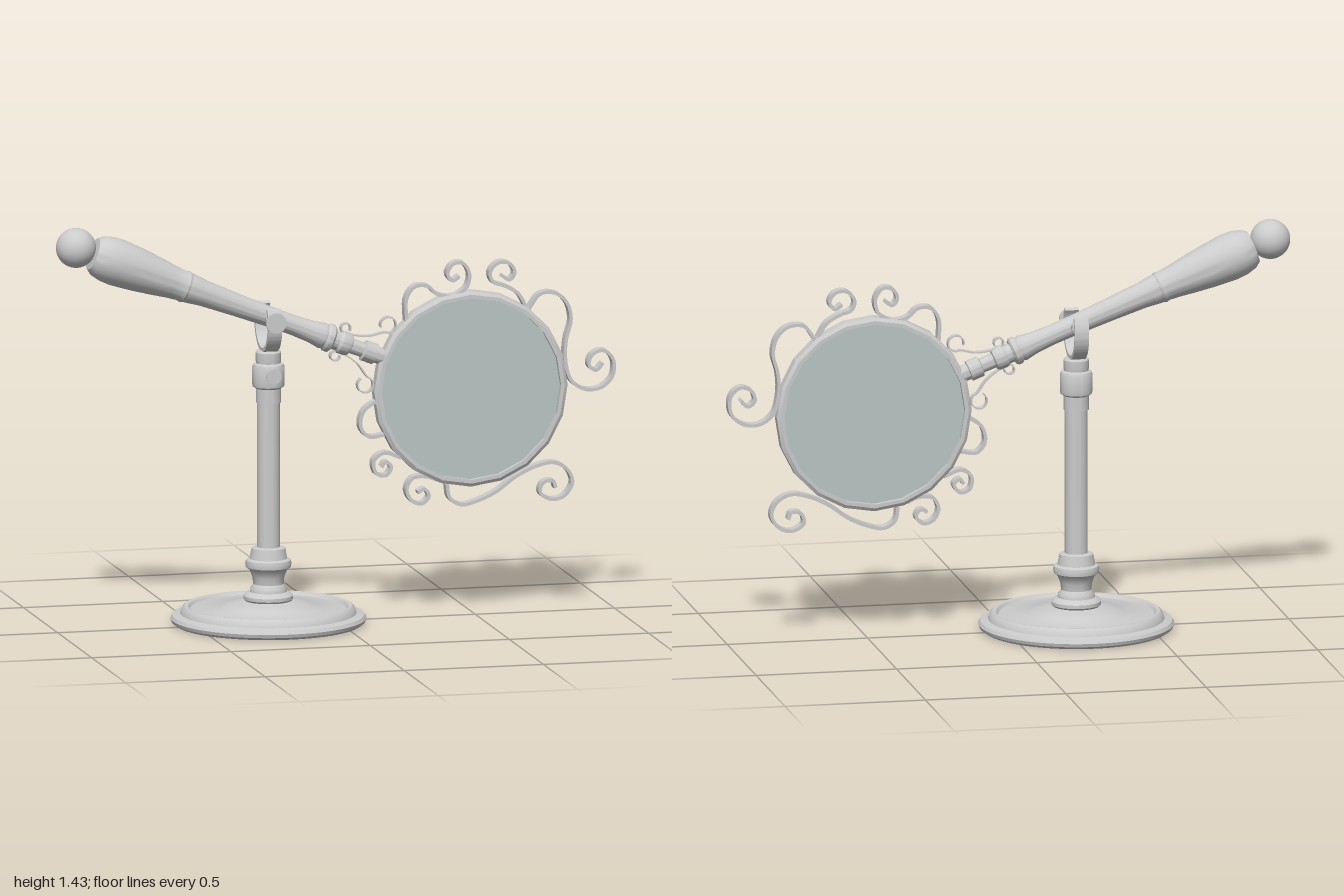
import * as THREE from 'three';
import { toCreasedNormals } from 'three/addons/utils/BufferGeometryUtils.js';

const grey = new THREE.MeshStandardMaterial({ color: 0xcccccc });
const glass = new THREE.MeshStandardMaterial({ color: 0xb9c6c4 });
const V = ([x, y]) => new THREE.Vector2(x, y);

function add(parent, name, geometry, material = grey) {
  const mesh = new THREE.Mesh(geometry, material);
  mesh.name = name;
  parent.add(mesh);
  return mesh;
}

// Turned part from [radius, height] pairs
const turned = (profile, sides = 40) =>
  toCreasedNormals(new THREE.LatheGeometry(profile.map(V), sides), 0.6);

// Flat strip bent along a path (hundredths of a unit), centred on z = 0
function ribbon(path, thickness, width) {
  const curve = new THREE.CatmullRomCurve3(path.map(([x, y]) => new THREE.Vector3(x / 100, y / 100, 0)), false, 'centripetal');
  const n = path.length * 5;
  const left = [], right = [];
  for (let i = 0; i <= n; i++) {
    const p = curve.getPoint(i / n), t = curve.getTangent(i / n);
    const nx = -t.y * thickness / 2, ny = t.x * thickness / 2;
    left.push(V([p.x + nx, p.y + ny]));
    right.unshift(V([p.x - nx, p.y - ny]));
  }
  const geo = new THREE.ExtrudeGeometry(new THREE.Shape([...left, ...right]), { depth: width, bevelEnabled: false });
  geo.translate(0, 0, -width / 2);
  return toCreasedNormals(geo, 0.7);
}

// Most of a circle, run clockwise between two angles in degrees
function loop(cx, cy, r, from, to) {
  const pts = [];
  for (let i = 0; i <= 10; i++) {
    const a = THREE.MathUtils.degToRad(from + (to - from) * i / 10);
    pts.push([cx + r * Math.cos(a), cy + r * Math.sin(a)]);
  }
  return pts;
}

// Thumbscrew pointing along +z, starting at z = 0
function thumbscrew(parent, name, y, z, r, length) {
  const screw = add(parent, name, turned([
    [0, 0], [r * 0.65, 0], [r * 0.65, length * 0.25], [r * 0.3, length * 0.4], [r * 0.3, length * 0.7],
    [r * 0.55, length * 0.85], [r, length * 0.9], [r, length], [0, length]], 24));
  screw.rotation.x = Math.PI / 2;
  screw.position.set(0, y, z);
}

function buildStand() {
  const stand = new THREE.Group();
  stand.name = 'stand';
  add(stand, 'base', turned([
    [0, 0.003], [0.325, 0.003], [0.338, 0.012], [0.342, 0.024], [0.335, 0.036], [0.308, 0.042],
    [0.302, 0.06], [0.292, 0.068], [0.28, 0.066], [0.272, 0.056], [0.165, 0.062], [0.15, 0.072],
    [0.11, 0.08], [0.08, 0.086]], 64));
  add(stand, 'foot', turned([
    [0.078, 0.082], [0.087, 0.092], [0.087, 0.104], [0.078, 0.114], [0.065, 0.118], [0.064, 0.13],
    [0.053, 0.145], [0.056, 0.17], [0.066, 0.195], [0.079, 0.205], [0.081, 0.218], [0.078, 0.23],
    [0.066, 0.235], [0.059, 0.272], [0.04, 0.276]]));
  add(stand, 'post', turned([[0.04, 0.27], [0.04, 0.8]]));
  add(stand, 'collar', turned([
    [0.038, 0.788], [0.044, 0.788], [0.044, 0.838], [0.055, 0.845], [0.057, 0.855], [0.057, 0.915],
    [0.053, 0.924], [0.043, 0.928], [0.045, 0.94], [0.045, 0.966], [0.04, 0.972], [0, 0.972]]));
  thumbscrew(stand, 'collarScrew', 0.892, 0.04, 0.027, 0.047);

  // Open-topped yoke that cradles the handle
  const a0 = Math.PI * 0.8, a1 = Math.PI * 2.2;
  const arc = new THREE.Shape();
  arc.absarc(0, 0, 0.104, a0, a1, false);
  arc.absarc(0, 0, 0.09, a1, a0, true);
  const yokeGeo = new THREE.ExtrudeGeometry(arc, { depth: 0.05, bevelEnabled: false, curveSegments: 32 });
  yokeGeo.translate(0, 0, -0.025).rotateY(Math.PI / 2);
  add(stand, 'yoke', toCreasedNormals(yokeGeo, 0.6)).position.y = 1.072;
  thumbscrew(stand, 'yokeScrew', 1.088, 0.036, 0.036, 0.085);
  const pivot = add(stand, 'yokePivot', turned([
    [0, 0], [0.026, 0], [0.026, 0.02], [0.014, 0.03], [0.014, 0.062], [0, 0.062]], 24));
  pivot.rotation.x = -Math.PI / 2;
  pivot.position.set(0, 1.088, -0.036);
  stand.position.x = -0.243;
  return stand;
}

// Handle runs along local +y away from the lens centre
function buildHandle() {
  const handle = new THREE.Group();
  handle.name = 'handle';
  add(handle, 'grip', turned([
    [0.044, 1.09], [0.054, 1.092], [0.057, 1.1], [0.054, 1.112], [0.058, 1.15], [0.067, 1.21],
    [0.076, 1.28], [0.083, 1.36], [0.081, 1.4], [0.072, 1.435], [0.058, 1.454], [0, 1.46]], 48));
  add(handle, 'knob', new THREE.SphereGeometry(0.07, 32, 24)).position.y = 1.52;
  add(handle, 'shaft', turned([
    [0, 0.53], [0.042, 0.53], [0.05, 0.537], [0.05, 0.552], [0.043, 0.56], [0.046, 0.57], [0.039, 0.61],
    [0.035, 0.68], [0.036, 0.78], [0.04, 0.9], [0.046, 1.03], [0.052, 1.075], [0.053, 1.095]]));
  add(handle, 'ferrule', turned([
    [0, 0.335], [0.028, 0.335], [0.03, 0.365], [0.037, 0.367], [0.037, 0.41], [0.026, 0.414],
    [0.027, 0.46], [0.037, 0.464], [0.041, 0.475], [0.041, 0.5], [0.034, 0.51], [0.034, 0.535]]));
  // Fine wire scrolls bridging handle and rim
  for (const side of [-1, 1]) {
    const path = [...loop(50, 5.2, 1.7, 200, -90), [46, 3.9], [41, 5.4], ...loop(36, 11.2, 2.8, -85, -395)];
    // Path is drawn as [along, across]; swap to local axes and mirror
    const local = path.map(([along, across]) => [side * across, along]);
    add(handle, 'wireScroll', ribbon(local, 0.005, 0.024));
  }
  handle.rotation.z = 1.195;
  return handle;
}

function buildLens() {
  const lens = new THREE.Group();
  lens.name = 'lens';
  // Faceted rim and glass
  const rim = new THREE.LatheGeometry([
    [0.322, -0.028], [0.335, -0.028], [0.347, -0.02], [0.347, 0.02], [0.335, 0.028],
    [0.322, 0.028], [0.322, -0.028]].map(V), 20);
  add(lens, 'rim', toCreasedNormals(rim, 0.2)).rotation.x = Math.PI / 2;
  add(lens, 'glass', new THREE.CylinderGeometry(0.325, 0.325, 0.02, 20), glass).rotation.x = Math.PI / 2;

  // Ornamental scrolls around the rim, relative to the lens centre
  const scrolls = {
    topInnerScroll: [[-23, 24], [-23, 33], [-20, 37], [-15.5, 37], [-12, 34], [-6.5, 33], [-1.5, 36],
      [-0.5, 41], [-3, 44.7], [-6.5, 44.3], [-8.3, 41], [-6.5, 38.5], [-4, 40]],
    topOuterScroll: [[20, 28], [17, 33], [12, 36], [8, 37.5], [7, 41], [10, 44.2], [14, 43.7],
      [15.8, 40.5], [14, 38], [11.3, 39.5]],
    sideScroll: [[21, 27.5], [25, 32.5], [30.5, 32.5], [34.5, 29], [36, 23], [34.3, 16], [34, 9],
      [36, 1.5], [41, -2], [47, -1.5], [51, 2.5], [51, 8.5], [47.5, 11.5], [43.5, 10], [42.5, 6.5],
      [45, 4.6], [47.5, 7]],
    lowerOuterScroll: [[-8.5, -33.5], [-7.5, -38.5], [-3.5, -41], [2, -40], [9, -37], [16, -32],
      [23.5, -28.5], [30, -27.5], [35, -30.5], [36.5, -35], [33.5, -39.5], [29, -40.5], [25, -38],
      [26, -34.5], [29.5, -34], [30.5, -36.5]],
    lowerInnerScroll: [[-12, -32], [-16, -30.5], [-21, -31], [-23, -35], [-21, -39], [-17.5, -40],
      [-15, -37.5], [-16.5, -35], [-19, -36]],
    lowerHandleScroll: [[-25, -23.5], [-31, -21.5], [-34.7, -24], [-34, -28.5], [-30.5, -29.5],
      [-28.5, -26.5], [-30.5, -24.7], [-32, -26.5]],
    handleArc: [[-31, -15], [-36.5, -15.5], [-39.5, -12], [-38.5, -6.5], [-34, -3]],
  };
  for (const [name, path] of Object.entries(scrolls)) add(lens, name, ribbon(path, 0.012, 0.038));
  lens.add(buildHandle());
  lens.position.set(0.48, 0.807, 0);
  return lens;
}

export function createModel() {
  const model = new THREE.Group();
  model.name = 'magnifierOnStand';
  model.add(buildStand(), buildLens());
  return model;
}
